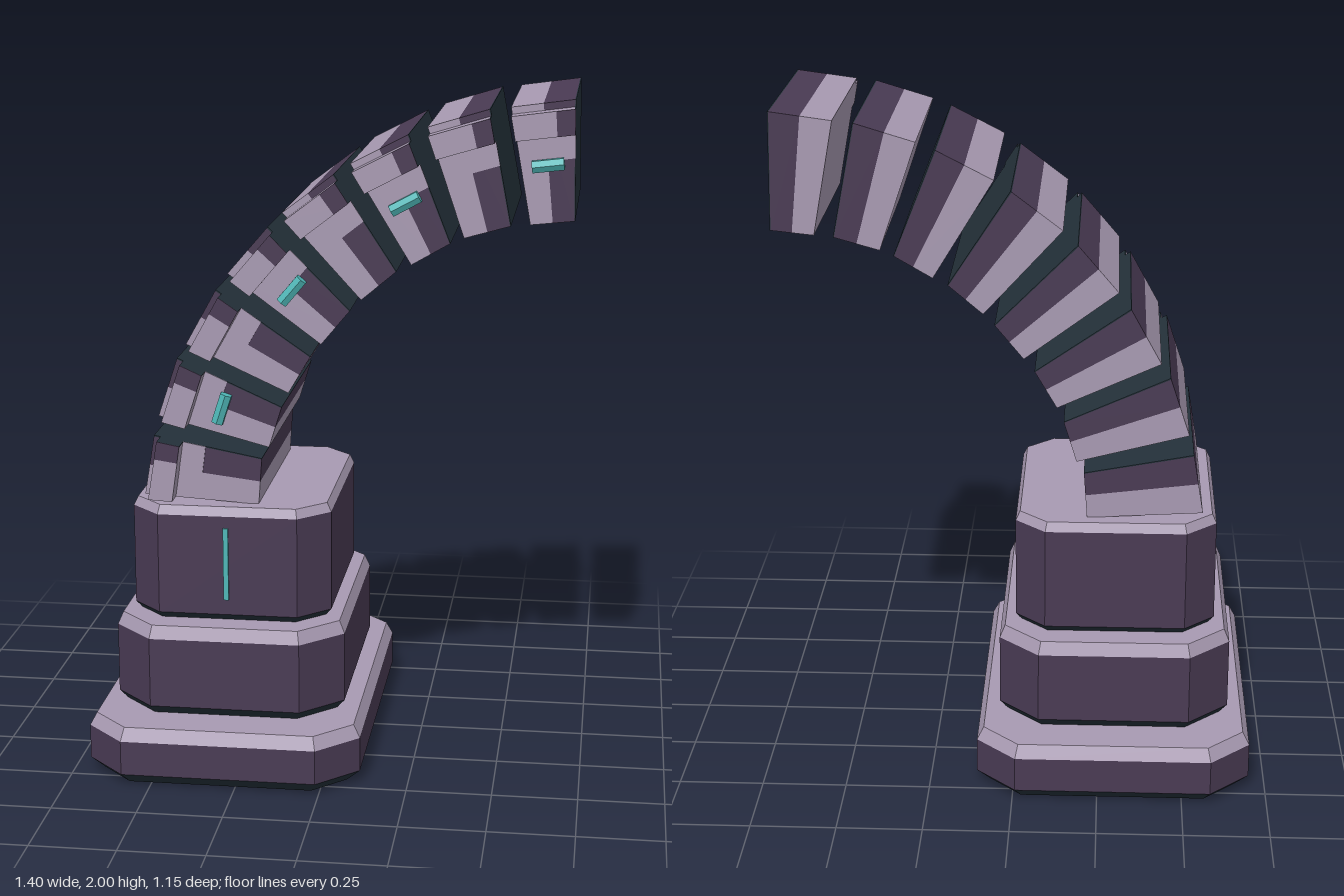
import * as THREE from 'three';

const material = (name, color) => {
  const m = new THREE.MeshStandardMaterial({ color });
  m.name = name;
  return m;
};

export function createModel() {
  const model = new THREE.Group();
  const lavender = material('lavender', 0xa89ab2);
  const purple = material('purple', 0x4a3b54);
  const slate = material('dark slate', 0x24313a);
  const teal = material('teal', 0x4fb8b8);

  const add = (parent, name, geometry, mat) => {
    const mesh = new THREE.Mesh(geometry, mat);
    mesh.name = name;
    parent.add(mesh);
    return mesh;
  };

  // Octagonal ring: a rectangle with cut corners, counter-clockwise from above
  const ring = (hx, hz, cut, inset, y) => {
    const x = hx - inset, z = hz - inset, c = cut - inset * 0.59;
    return [[x, z - c], [x, c - z], [x - c, -z], [c - x, -z],
      [-x, c - z], [-x, z - c], [c - x, z], [x - c, z]]
      .map(([px, pz]) => [px, y, pz]);
  };

  // Flat band between two rings, optionally closed below or above
  const band = (low, high, capLow, capHigh) => {
    const pos = [];
    const tri = (...corners) => corners.forEach((p) => pos.push(...p));
    for (let i = 0; i < 8; i++) {
      const j = (i + 1) % 8;
      tri(low[i], low[j], high[j]);
      tri(low[i], high[j], high[i]);
      if (capLow && i > 0 && i < 7) tri(low[0], low[i + 1], low[i]);
      if (capHigh && i > 0 && i < 7) tri(high[0], high[i], high[i + 1]);
    }
    const g = new THREE.BufferGeometry();
    g.setAttribute('position', new THREE.Float32BufferAttribute(pos, 3));
    g.computeVertexNormals();
    return g;
  };

  // Stepped pedestal: half width, half depth, corner cut, heights and insets
  const tiers = [
    { hx: 0.405, hz: 0.575, cut: 0.118, y: [0, 0.037, 0.14, 0.178], low: 0.04, top: 0.02 },
    { hx: 0.343, hz: 0.447, cut: 0.12, y: [0.175, 0.205, 0.415, 0.453], low: 0.025, top: 0.016 },
    { hx: 0.297, hz: 0.367, cut: 0.09, y: [0.45, 0.473, 0.775, 0.802], low: 0.02, top: 0.013 },
  ];
  tiers.forEach(({ hx, hz, cut, y, low, top }, i) => {
    const tier = new THREE.Group();
    tier.name = `pedestalTier${i + 1}`;
    tier.position.x = -0.296;
    const insets = [low, 0, 0, top];
    const [a, b, c, d] = y.map((h, k) => ring(hx, hz, cut, insets[k], h));
    add(tier, 'lowerBevel', band(a, b, true, false), slate);
    add(tier, 'wall', band(b, c, false, false), purple);
    add(tier, 'topBevel', band(c, d, false, true), lavender);
    model.add(tier);
  });

  // Thin light line on the pedestal front
  add(model, 'pedestalLight', new THREE.BoxGeometry(0.015, 0.22, 0.008), teal)
    .position.set(-0.3, 0.63, 0.37);

  // Arch segments in side profile: outer start, outer end, inner end, inner start
  const segments = [
    [-0.55, 0.82, -0.52, 1.0, -0.2, 0.94, -0.21, 0.8],
    [-0.505, 1.06, -0.447, 1.235, -0.14, 1.097, -0.178, 0.975],
    [-0.42, 1.277, -0.33, 1.44, -0.055, 1.25, -0.12, 1.14],
    [-0.295, 1.488, -0.177, 1.626, 0.06, 1.388, -0.024, 1.287],
    [-0.135, 1.668, 0.013, 1.78, 0.193, 1.505, 0.092, 1.42],
    [0.06, 1.811, 0.225, 1.896, 0.346, 1.589, 0.235, 1.525],
    [0.278, 1.917, 0.453, 1.97, 0.516, 1.642, 0.384, 1.605],
    [0.51, 1.976, 0.69, 2.0, 0.695, 1.66, 0.57, 1.647],
  ];

  segments.forEach((q, i) => {
    const segment = new THREE.Group();
    segment.name = `archSegment${i + 1}`;
    const corner = (k) => new THREE.Vector2(q[2 * k], q[2 * k + 1]);
    // u runs along the arch, v from its outer to its inner side
    const at = (u, v) => corner(0).lerp(corner(1), u).lerp(corner(3).lerp(corner(2), u), v);
    const block = (name, u0, u1, v0, v1, z0, z1, mat) => {
      const shape = new THREE.Shape([at(u0, v0), at(u0, v1), at(u1, v1), at(u1, v0)]);
      const g = new THREE.ExtrudeGeometry(shape, { depth: z1 - z0, bevelEnabled: false });
      g.translate(0, 0, z0);
      return add(segment, name, g, mat);
    };

    // Two-tone body with a dark end face
    block('lightHalf', 0, 0.5, 0, 1, -0.31, 0.31, lavender);
    block('darkHalf', 0.5, 0.98, 0, 1, -0.31, 0.31, purple);
    block('endFace', 0.98, 1, 0, 1, -0.31, 0.31, slate);

    // Raised front rail with a dark patch, and the pale band beneath it
    block('rail', 0, 0.98, 0.06, 0.27, 0.31, 0.368, lavender);
    block('railEnd', 0.98, 1, 0.06, 0.27, 0.31, 0.368, slate);
    block('railPatch', 0.7, 1, 0.06, 0.27, 0.368, 0.371, purple);
    block('paleBand', 0.5, 1, 0.27, 0.48, 0.31, 0.313, lavender);

    // Small six-sided lamp on every second segment
    if (i % 2 === 1) {
      const dir = at(1, 0.5).sub(at(0, 0.5));
      const mid = at(0.5, 0.51);
      const g = new THREE.CylinderGeometry(0.019, 0.019, 0.09, 6).toNonIndexed();
      g.computeVertexNormals();
      const lamp = add(segment, 'lamp', g, teal);
      lamp.position.set(mid.x, mid.y, 0.325);
      lamp.rotation.z = Math.atan2(dir.y, dir.x) - Math.PI / 2;
    }
    model.add(segment);
  });

  return model;
}
